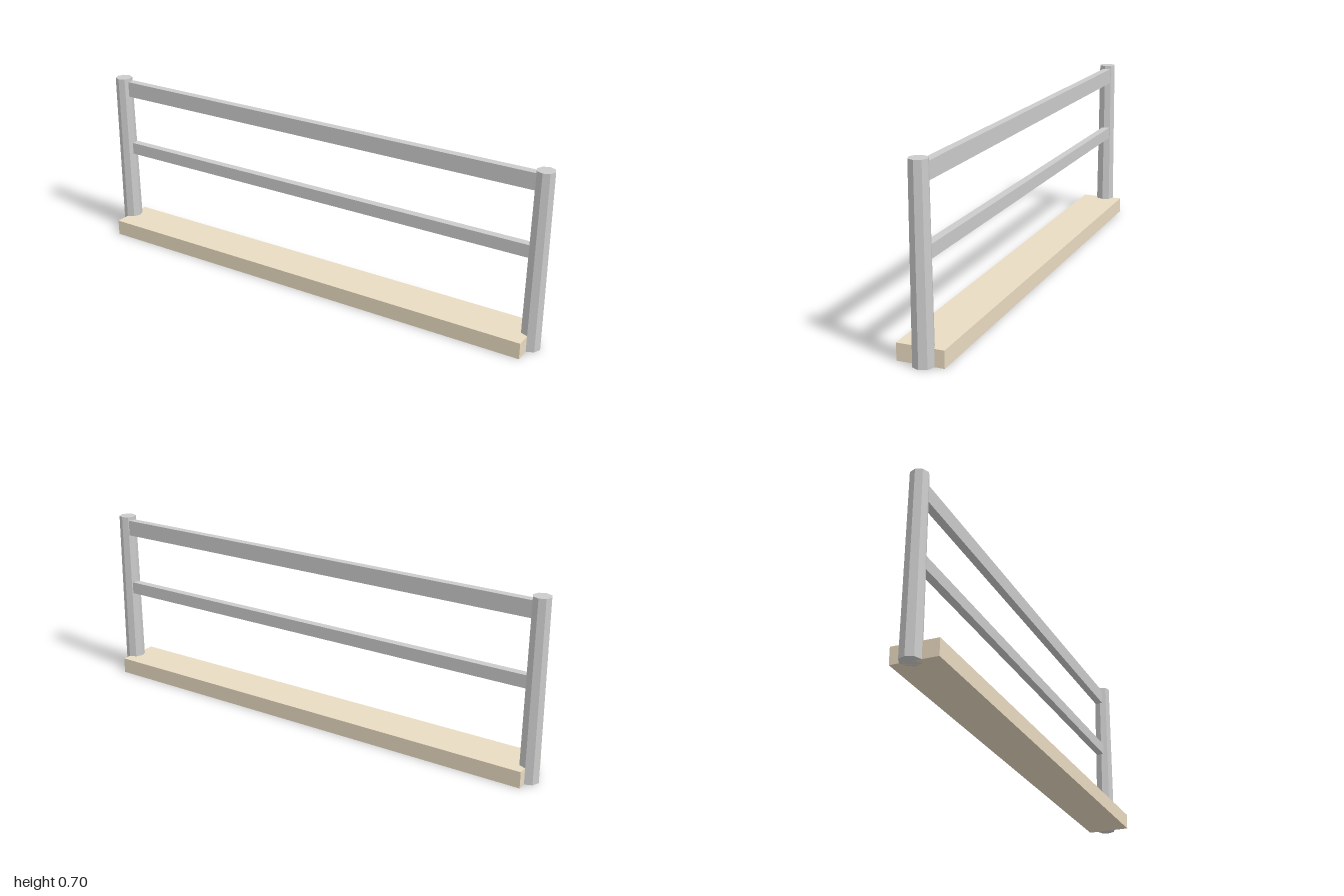
import * as THREE from 'three';

export function createModel() {
  const model = new THREE.Group();
  model.name = 'fence';
  const metal = new THREE.MeshStandardMaterial({ color: 0xcccccc, flatShading: true });
  const plank = new THREE.MeshStandardMaterial({ color: 0xeadcc2, flatShading: true });

  const add = (name, geometry, material, x, y, z) => {
    const mesh = new THREE.Mesh(geometry, material);
    mesh.name = name;
    mesh.position.set(x, y, z);
    model.add(mesh);
  };

  // Foot plank
  add('basePlank', new THREE.BoxGeometry(1.92, 0.065, 0.178), plank, 0, 0.0325, 0);

  // Tapered eight-sided end posts, set slightly behind the middle
  const post = new THREE.CylinderGeometry(0.035, 0.04, 0.705, 8);
  for (const side of [-1, 1]) {
    add(side > 0 ? 'leftPost' : 'rightPost', post, metal, side * 0.96, 0.3525, -0.0125);
  }

  // Horizontal rails, their ends sunk into the posts
  add('topRail', new THREE.BoxGeometry(1.9, 0.065, 0.032), metal, 0, 0.658, -0.019);
  add('middleRail', new THREE.BoxGeometry(1.9, 0.05, 0.032), metal, 0, 0.388, -0.019);

  return model;
}
